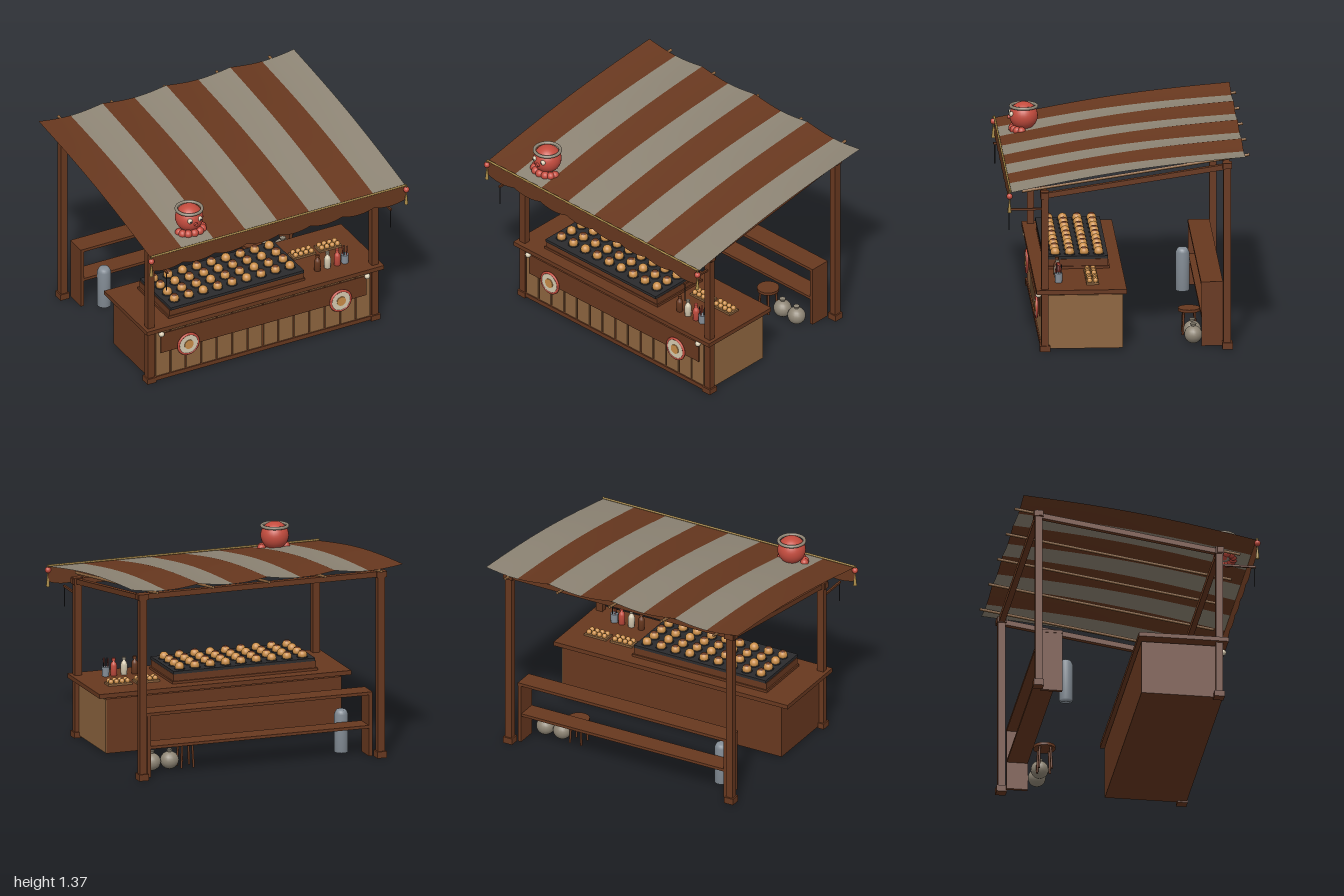
import * as THREE from 'three';

const mat = (name, color, side = THREE.FrontSide) => {
  const m = new THREE.MeshStandardMaterial({ color, side });
  m.name = name;
  return m;
};

export function createModel() {
  const wood = mat('dark wood', 0x68381f, THREE.DoubleSide);
  const tan = mat('light wood', 0x8e653f);
  const canvas = mat('grey canvas', 0x8e8575, THREE.DoubleSide);
  const cream = mat('cream', 0xd8ccb2);
  const red = mat('red', 0xc44c3e);
  const black = mat('black iron', 0x2b2b2d);
  const gold = mat('gold', 0xa98a48);
  const dough = mat('dough', 0xc98d48);
  const steel = mat('steel', 0x858e97);

  const root = new THREE.Group();
  root.name = 'foodStall';
  const add = (name, geo, m, x = 0, y = 0, z = 0, parent = root) => {
    const mesh = new THREE.Mesh(geo, m);
    mesh.name = name;
    mesh.position.set(x, y, z);
    parent.add(mesh);
    return mesh;
  };
  const group = (name, x = 0, y = 0, z = 0) => {
    const g = new THREE.Group();
    g.name = name;
    g.position.set(x, y, z);
    root.add(g);
    return g;
  };
  // box given by its limits on each axis
  const box = (name, m, x0, x1, y0, y1, z0, z1, parent) =>
    add(name, new THREE.BoxGeometry(x1 - x0, y1 - y0, z1 - z0), m, (x0 + x1) / 2, (y0 + y1) / 2, (z0 + z1) / 2, parent);
  const ball = (r) => new THREE.SphereGeometry(r, 18, 12);
  const cyl = (r0, r1, h, n = 18) => new THREE.CylinderGeometry(r0, r1, h, n);
  // square or round bar between two points
  const bar = (name, m, a, b, r, n = 8) => {
    const p = new THREE.Vector3(...a), q = new THREE.Vector3(...b);
    const geo = n === 4 ? new THREE.BoxGeometry(r * 2, p.distanceTo(q), r * 2) : cyl(r, r, p.distanceTo(q), n);
    const mesh = add(name, geo, m);
    mesh.position.copy(p).lerp(q, 0.5);
    mesh.quaternion.setFromUnitVectors(new THREE.Vector3(0, 1, 0), q.sub(p).normalize());
    return mesh;
  };

  // frame: posts, blocks, side beams, brackets
  for (const s of [-1, 1]) {
    const x = s * 0.86;
    box('frontPost', wood, x - 0.025, x + 0.025, 0, 1.1, 0.54, 0.587);
    box('frontPostFoot', wood, x - 0.035, x + 0.035, 0, 0.04, 0.528, 0.598);
    box('frontPostCap', wood, x - 0.032, x + 0.032, 1.065, 1.115, 0.535, 0.592);
    box('backPost', wood, x - 0.025, x + 0.025, 0, 1.29, -0.695, -0.645);
    box('backPostFoot', wood, x - 0.035, x + 0.035, 0, 0.045, -0.707, -0.637);
    box('backPostCap', wood, x - 0.035, x + 0.035, 1.26, 1.3, -0.703, -0.64);
    bar('sideBeam', wood, [x, 1.085, 0.57], [x, 1.275, -0.69], 0.018, 4);
    box('lanternArm', wood, x - 0.007, x + 0.007, 0.985, 0.999, 0.55, 0.815);
    bar('lanternWire', black, [x, 0.99, 0.805], [x, 0.85, 0.805], 0.004, 6);
  }
  box('frontBeam', wood, -0.9, 0.9, 1.07, 1.11, 0.545, 0.583);
  box('backBeam', wood, -0.9, 0.9, 1.262, 1.3, -0.69, -0.65);
  for (let i = -2; i <= 2; i++) bar('rafter', tan, [i * 0.405, 1.103, 0.715], [i * 0.405, 1.338, -0.825], 0.01);

  // striped canopy, sagging between every other seam
  for (let i = 0; i < 8; i++) {
    const geo = new THREE.PlaneGeometry(0.245, 1.59, 8, 18).rotateX(-Math.PI / 2).translate(-0.8575 + i * 0.245, 0, 0.005);
    const p = geo.attributes.position;
    for (let k = 0; k < p.count; k++) {
      const t = (0.8 - p.getZ(k)) / 1.59;
      const sag = 0.025 * t * Math.abs(Math.sin((p.getX(k) + 0.98) * Math.PI / 0.49));
      p.setY(k, 1.14 + 0.225 * t + 0.03 * Math.sin(Math.PI * t) - sag);
    }
    geo.computeVertexNormals();
    add('canopyStripe', geo, i % 2 ? canvas : wood);
  }

  // scalloped valance with trim and tassels
  const edge = new THREE.Shape();
  edge.moveTo(0.98, 1.145);
  edge.lineTo(-0.98, 1.145);
  edge.lineTo(-0.98, 1.035);
  for (let i = 0; i < 8; i++) {
    const x = -0.98 + i * 0.245;
    edge.quadraticCurveTo(x + 0.1225, 0.992, x + 0.245, 1.035);
  }
  add('valance', new THREE.ShapeGeometry(edge, 8), wood, 0, 0, 0.801);
  bar('valanceTrim', gold, [-0.98, 1.147, 0.802], [0.98, 1.147, 0.802], 0.007);
  for (const s of [-1, 1]) {
    add('pompom', ball(0.021), red, s * 0.979, 1.115, 0.808);
    add('tasselCord', cyl(0.006, 0.006, 0.05, 8), gold, s * 0.979, 1.125, 0.808);
    add('tassel', cyl(0.004, 0.013, 0.095, 10), gold, s * 0.979, 1.048, 0.808);
  }

  // counter
  box('counterBody', wood, -0.85, 0.85, 0.01, 0.39, 0.035, 0.575);
  box('counterSidePanel', tan, 0.85, 0.858, 0.015, 0.385, 0.035, 0.575);
  box('counterCore', wood, -0.82, 0.82, 0.38, 0.41, 0.06, 0.56);
  box('counterTop', wood, -0.91, 0.91, 0.403, 0.433, 0.01, 0.622);
  box('baseRail', wood, -0.885, 0.885, 0.01, 0.04, 0.56, 0.592);
  for (let i = 0; i < 14; i++) {
    const x = -0.77 + i * 0.1185;
    box('frontSlat', tan, x - 0.053, x + 0.053, 0.04, 0.385 + (i % 3) * 0.004, 0.57, 0.583);
  }
  box('frontBanner', wood, -0.79, 0.79, 0.22, 0.372, 0.588, 0.596);
  for (const s of [-1, 1]) {
    add('bannerKnob', ball(0.02), cream, s * 0.79, 0.373, 0.603);
    const disc = group('medallion', s * 0.585, 0.24, 0.606);
    add('medallionRim', new THREE.TorusGeometry(0.076, 0.009, 8, 32), red, 0, 0, 0, disc);
    add('medallionFace', cyl(0.076, 0.076, 0.012, 32).rotateX(Math.PI / 2), cream, 0, 0, 0, disc);
    add('medallionCentre', cyl(0.034, 0.034, 0.008, 24).rotateX(Math.PI / 2), dough, 0, 0, 0.008, disc);
  }

  // griddle with dumplings
  box('griddleFoot', wood, -0.7, 0.35, 0.433, 0.45, 0.095, 0.535);
  box('griddleBox', wood, -0.69, 0.34, 0.45, 0.497, 0.105, 0.53);
  box('griddlePlate', black, -0.685, 0.338, 0.497, 0.517, 0.105, 0.542);
  const sauce = new THREE.SphereGeometry(0.0335, 16, 4, 0, Math.PI * 2, 0, 0.7);
  for (let i = 0; i < 9; i++) {
    for (let j = 0; j < 4; j++) {
      const x = -0.615 + i * 0.111, z = 0.46 - j * 0.098;
      add('griddleWell', new THREE.TorusGeometry(0.034, 0.004, 6, 18).rotateX(Math.PI / 2), black, x, 0.518, z);
      add('dumpling', ball(0.032), dough, x, 0.533, z);
      if ((i * 2 + j) % 3 !== 1) add('dumplingSauce', sauce, wood, x, 0.533, z);
    }
  }

  // bottles and chopstick cup
  const profile = [[0, 0], [0.022, 0], [0.023, 0.07], [0.018, 0.085], [0.009, 0.095], [0.009, 0.105], [0, 0.105]]
    .map(([x, y]) => new THREE.Vector2(x, y));
  [[0.485, wood, wood], [0.562, cream, cream], [0.637, red, red]].forEach(([x, m, cap]) => {
    add('sauceBottle', new THREE.LatheGeometry(profile, 18), m, x, 0.433, 0.46);
    add('bottleCap', cyl(0.013, 0.013, 0.018, 12), cap === cream ? canvas : cap, x, 0.545, 0.46);
  });
  add('chopstickCup', cyl(0.027, 0.024, 0.065), steel, 0.695, 0.466, 0.46);
  for (let i = 0; i < 5; i++) {
    const a = i * 1.257, x = 0.695 + 0.012 * Math.cos(a), z = 0.46 + 0.014 * Math.sin(a);
    bar('chopstick', i % 2 ? red : black, [x, 0.45, z], [x + 0.006 * Math.cos(a), 0.558, z + 0.006 * Math.sin(a)], 0.003, 6);
  }

  // serving trays
  for (const x of [0.49, 0.69]) {
    box('servingTray', tan, x - 0.085, x + 0.085, 0.433, 0.447, 0.19, 0.275);
    for (let i = 0; i < 8; i++)
      add('servedDumpling', ball(0.018), dough, x - 0.06 + (i % 4) * 0.04, 0.457, i < 4 ? 0.213 : 0.253);
  }

  // back shelf
  for (const s of [-1, 1]) box('shelfEnd', wood, s * 0.8 - 0.012, s * 0.8 + 0.012, 0.005, 0.45, -0.645, -0.5);
  box('upperShelf', wood, -0.815, 0.815, 0.432, 0.453, -0.645, -0.497);
  box('lowerShelf', wood, -0.81, 0.81, 0.2, 0.22, -0.643, -0.5);

  // stool, sacks and canister
  add('stoolSeat', cyl(0.075, 0.075, 0.02, 20), wood, 0.46, 0.17, -0.435);
  for (let i = 0; i < 4; i++) {
    const a = Math.PI / 4 + i * Math.PI / 2, c = Math.cos(a), d = Math.sin(a);
    bar('stoolLeg', wood, [0.46 + c * 0.062, 0, -0.435 + d * 0.062], [0.46 + c * 0.052, 0.165, -0.435 + d * 0.052], 0.008);
  }
  for (const x of [0.58, 0.71]) {
    add('sack', ball(0.064), canvas, x, 0.06, -0.45).scale.set(1, 0.95, 0.95);
    add('sackNeck', cyl(0.022, 0.012, 0.025, 12), canvas, x, 0.123, -0.45);
  }
  const can = [[0, 0], [0.047, 0], [0.047, 0.265], [0.038, 0.285], [0.03, 0.295], [0, 0.295]]
    .map(([x, y]) => new THREE.Vector2(x, y));
  add('canister', new THREE.LatheGeometry(can, 24), steel, -0.66, 0.003, -0.453);

  // octopus ornament wearing a rolled headband
  const octo = group('octopus', -0.59, 1.255, 0.625);
  add('octopusHead', new THREE.SphereGeometry(0.096, 28, 20), red, 0, 0.003, 0, octo);
  add('headband', new THREE.TorusGeometry(0.088, 0.011, 10, 32).rotateX(Math.PI / 2), canvas, 0, 0.07, 0, octo);
  for (let i = 0; i < 7; i++) {
    const a = Math.PI * (i / 6);
    add('tentacle', ball(0.029), red, 0.088 * Math.cos(a), -0.085, 0.02 + 0.055 * Math.sin(a), octo);
  }
  for (const s of [-1, 1]) {
    add('eyeWhite', ball(0.018), cream, s * 0.037, 0.022, 0.082, octo);
    add('pupil', ball(0.009), black, s * 0.037, 0.022, 0.094, octo);
  }
  add('snout', cyl(0.012, 0.016, 0.02, 12).rotateX(Math.PI / 2), red, 0, -0.005, 0.098, octo);

  return root;
}
